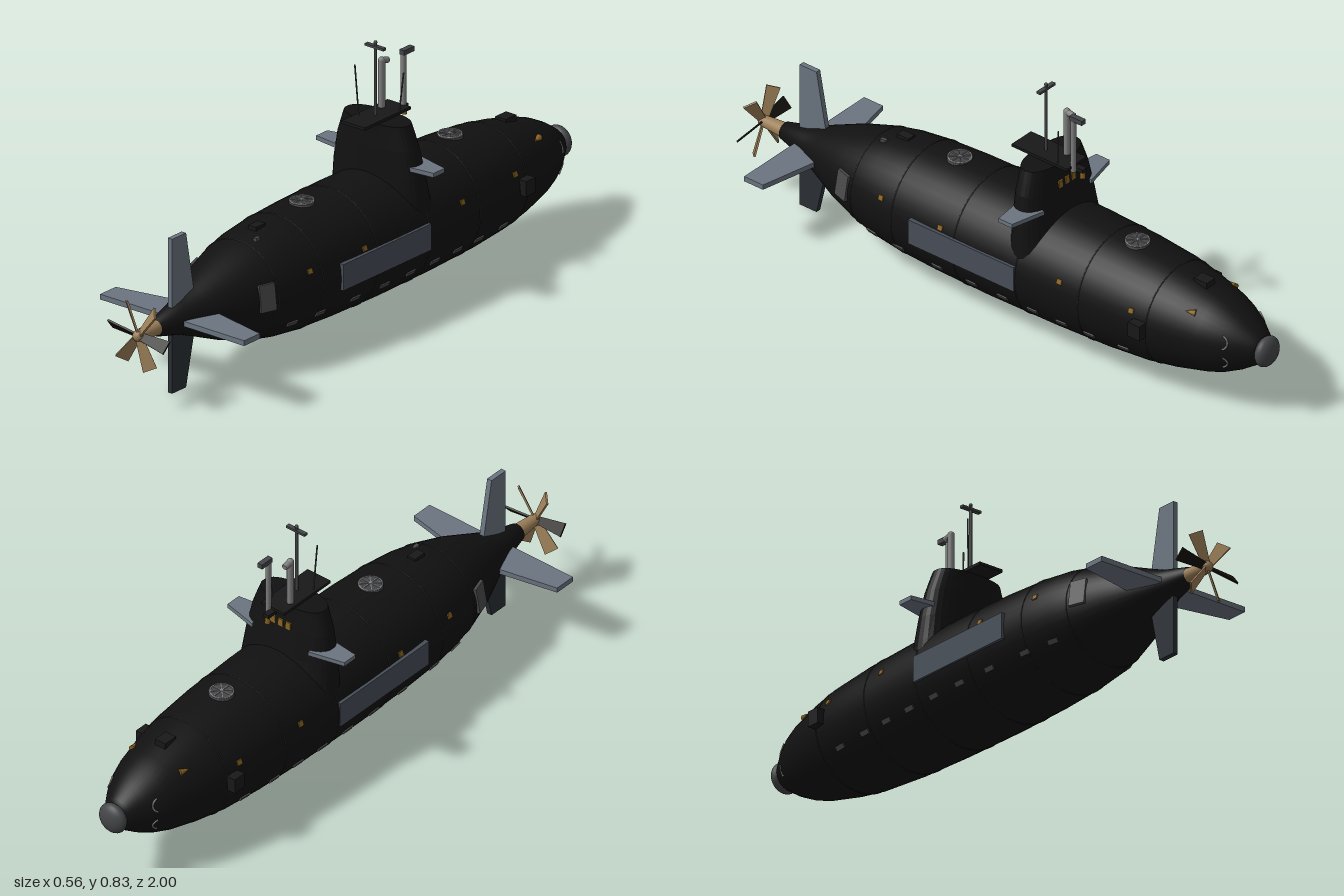
import * as THREE from 'three';

const AXIS = 0.233; // height of the hull centreline
// hull profile: [z, radius] from bow to stern
const PROFILE = [[-0.97, 0], [-0.965, 0.035], [-0.95, 0.052], [-0.9, 0.086], [-0.85, 0.112], [-0.8, 0.13], [-0.7, 0.154],
  [-0.6, 0.171], [-0.45, 0.183], [-0.25, 0.19], [0, 0.193], [0.2, 0.19], [0.35, 0.183], [0.45, 0.172], [0.53, 0.155],
  [0.63, 0.124], [0.73, 0.082], [0.8, 0.053], [0.9, 0.028], [0.905, 0]];

const mat = (color, extra) => new THREE.MeshStandardMaterial({ color, ...extra });
const M = {
  hull: mat(0x111111), black: mat(0x181818), seam: mat(0x2c2d2f), fin: mat(0x6b7480), darkFin: mat(0x2a2f36),
  panel: mat(0x474e58), vent: mat(0x4a4a4a), amber: mat(0x8a6420), steel: mat(0x808080), darkSteel: mat(0x444548),
  bronze: mat(0x9c7f58, { side: THREE.DoubleSide }), darkBlade: mat(0x14110c, { side: THREE.DoubleSide }),
};

function hullRadius(z) {
  for (let i = 1; i < PROFILE.length; i++) {
    const [z0, r0] = PROFILE[i - 1], [z1, r1] = PROFILE[i];
    if (z <= z1) return r0 + (r1 - r0) * (z - z0) / (z1 - z0);
  }
  return 0;
}

// sail lofted from rounded sections: [y, half width, bow z, stern z]
function sailGeometry() {
  const rows = [[0.28, 0.178, -0.24, -0.07], [0.34, 0.173, -0.23, -0.07], [0.42, 0.165, -0.212, -0.074],
    [0.51, 0.147, -0.198, -0.077], [0.55, 0.133, -0.192, -0.079], [0.585, 0.12, -0.187, -0.08]];
  const n = 36, pos = [], idx = [];
  const pw = v => Math.sign(v) * Math.abs(v) ** 0.85;
  rows.forEach(([y, w, z0, z1]) => {
    for (let j = 0; j < n; j++) {
      const t = j / n * Math.PI * 2;
      pos.push(w * pw(Math.cos(t)), y, (z0 + z1) / 2 + (z1 - z0) / 2 * pw(Math.sin(t)));
    }
  });
  const top = rows.length * n;
  pos.push(0, 0.585, -0.133);
  for (let j = 0; j < n; j++) {
    const k = (j + 1) % n;
    for (let i = 0; i < rows.length - 1; i++) {
      const a = i * n + j, b = i * n + k;
      idx.push(a, a + n, b, b, a + n, b + n);
    }
    idx.push(top, top - n + k, top - n + j);
  }
  const g = new THREE.BufferGeometry();
  g.setAttribute('position', new THREE.Float32BufferAttribute(pos, 3));
  g.setIndex(idx);
  const flat = g.toNonIndexed();
  flat.computeVertexNormals();
  return flat;
}

// flat fin in x/z: outline points [x, z], given thickness in y
function finGeometry(points, thick) {
  const s = new THREE.Shape(points.map(([x, z]) => new THREE.Vector2(x, -z)));
  return new THREE.ExtrudeGeometry(s, { depth: thick, bevelEnabled: false })
    .translate(0, 0, -thick / 2).rotateX(-Math.PI / 2);
}

export function createModel() {
  const root = new THREE.Group();
  const add = (name, geo, material, x = 0, y = 0, z = 0, parent = root) => {
    const m = new THREE.Mesh(geo, material);
    m.name = name;
    m.position.set(x, y, z);
    parent.add(m);
    return m;
  };
  const box = (w, h, d) => new THREE.BoxGeometry(w, h, d);
  const rod = (name, r, a, b, material) => {
    const p = new THREE.Vector3(...a), q = new THREE.Vector3(...b);
    const m = add(name, new THREE.CylinderGeometry(r, r, p.distanceTo(q), 12), material);
    m.position.copy(p).add(q).multiplyScalar(0.5);
    m.quaternion.setFromUnitVectors(new THREE.Vector3(0, 1, 0), q.sub(p).normalize());
  };
  // seats a part on the hull skin, its local +z facing outward
  const onHull = (name, geo, material, z, y, side) => {
    const r = hullRadius(z), dy = y - AXIS;
    const x = side * Math.sqrt(Math.max(0, r * r - dy * dy));
    const slope = (hullRadius(z + 0.02) - hullRadius(z - 0.02)) / 0.04;
    const m = add(name, geo, material, x, y, z);
    m.lookAt(x + x / r, y + dy / r, z - slope);
    return m;
  };

  // hull, seams and bow dome
  add('hull', new THREE.LatheGeometry(PROFILE.map(([z, r]) => new THREE.Vector2(r, z)), 40).rotateX(Math.PI / 2), M.hull, 0, AXIS, 0);
  for (const z of [-0.635, -0.39, -0.15, 0.09, 0.337, 0.515])
    add('hullSeam', new THREE.TorusGeometry(hullRadius(z), 0.0018, 6, 48), M.seam, 0, AXIS, z);
  add('bowDome', new THREE.SphereGeometry(0.05, 24, 16).scale(1, 1, 0.54), M.darkSteel, 0, AXIS, -0.973);

  // side fittings, mirrored
  for (const s of [1, -1]) {
    add('sidePanel', box(0.02, 0.085, 0.41), M.panel, s * 0.185, 0.24, 0.055);
    add('sideBlock', box(0.03, 0.05, 0.045), M.black, s * 0.178, 0.25, -0.615);
    for (const z of [0.44, 0.325, 0.17, 0.035, -0.085, -0.2, -0.31, -0.415, -0.54])
      onHull('floodVent', box(0.038, 0.016, 0.008), M.vent, z, 0.138, s);
    for (const z of [0.385, 0.145, -0.315, -0.58])
      onHull('markerLight', box(0.018, 0.016, 0.008), M.amber, z, 0.294, s);
    onHull('sternVent', box(0.055, 0.085, 0.01), M.vent, 0.555, 0.257, s);
    onHull('bowLight', new THREE.ConeGeometry(0.011, 0.036, 8).rotateZ(s * Math.PI / 2), M.amber, -0.757, 0.333, s);
    for (const y of [0.268, 0.198])
      onHull('tubeDoorRim', new THREE.TorusGeometry(0.022, 0.003, 6, 16, Math.PI * 0.8)
        .rotateZ(s > 0 ? -Math.PI * 0.4 : Math.PI * 0.6), M.steel, -0.87, y, s);
  }

  // deck hatches with spokes
  for (const z of [-0.47, 0.22]) {
    const hatch = new THREE.Group();
    hatch.name = 'deckHatch';
    hatch.position.set(0, AXIS + hullRadius(z), z);
    root.add(hatch);
    add('hatchLid', new THREE.CylinderGeometry(0.036, 0.04, 0.012, 24), M.darkSteel, 0, 0, 0, hatch);
    add('hatchRim', new THREE.TorusGeometry(0.036, 0.003, 6, 24).rotateX(Math.PI / 2), M.steel, 0, 0.005, 0, hatch);
    for (let i = 0; i < 4; i++)
      add('hatchSpoke', box(0.07, 0.003, 0.003).rotateY(i * Math.PI / 4), M.steel, 0, 0.007, 0, hatch);
  }
  add('aftDeckBlock', box(0.03, 0.025, 0.045), M.black, 0, 0.404, 0.43);
  add('foreDeckBlock', box(0.04, 0.03, 0.05), M.black, 0, 0.378, -0.73);
  add('deckCleat', box(0.012, 0.012, 0.02), M.vent, 0.042, 0.395, 0.48);

  // sail with cap, windows, lamp and planes
  add('sail', sailGeometry(), M.hull);
  add('sailCap', box(0.09, 0.009, 0.215), M.black, 0, 0.59, -0.126);
  for (const x of [-0.03, 0, 0.03]) add('sailWindow', box(0.018, 0.025, 0.012), M.amber, x, 0.52, -0.193);
  add('lampBracket', box(0.02, 0.012, 0.04), M.black, 0, 0.58, -0.245);
  add('lamp', new THREE.CylinderGeometry(0.007, 0.009, 0.022, 12), M.amber, 0, 0.563, -0.257);
  for (const s of [1, -1])
    add('sailPlane', finGeometry([[s * 0.11, -0.2], [s * 0.228, -0.172], [s * 0.228, -0.12], [s * 0.11, -0.105]], 0.014), M.fin, 0, 0.457, 0);

  // masts
  rod('centreMast', 0.005, [0.004, 0.58, -0.118], [0.004, 0.825, -0.118], M.darkSteel);
  add('mastCrossbar', box(0.072, 0.008, 0.014), M.darkSteel, 0.004, 0.815, -0.118);
  add('mastKnob', new THREE.SphereGeometry(0.006, 12, 8), M.darkSteel, 0.004, 0.829, -0.118);
  rod('snorkel', 0.011, [-0.022, 0.58, -0.178], [-0.022, 0.745, -0.178], M.steel);
  add('snorkelElbow', new THREE.SphereGeometry(0.011, 12, 8), M.steel, -0.022, 0.745, -0.178);
  rod('snorkelMouth', 0.01, [-0.022, 0.744, -0.178], [-0.022, 0.738, -0.205], M.steel);
  rod('periscope', 0.009, [0.016, 0.575, -0.235], [0.016, 0.765, -0.235], M.steel);
  add('periscopeHead', box(0.018, 0.016, 0.048), M.darkSteel, 0.016, 0.764, -0.25);
  rod('antenna', 0.0025, [-0.033, 0.585, -0.085], [-0.042, 0.757, -0.077], M.darkSteel);
  rod('antenna', 0.0025, [0.036, 0.585, -0.19], [0.045, 0.715, -0.2], M.darkSteel);

  // tail fins
  for (const s of [1, -1]) {
    add('sternPlane', finGeometry([[0, 0.69], [s * 0.1, 0.715], [s * 0.28, 0.752], [s * 0.28, 0.825], [0, 0.825]], 0.017), M.fin, 0, AXIS, 0);
    add(s > 0 ? 'upperRudder' : 'lowerRudder',
      finGeometry([[0, 0.72], [s * 0.08, 0.735], [s * (s > 0 ? 0.267 : 0.233), 0.77], [s * (s > 0 ? 0.267 : 0.233), 0.835], [0, 0.835]], 0.017)
        .rotateZ(Math.PI / 2), s > 0 ? M.fin : M.darkFin, 0, AXIS, 0);
  }

  // propeller: hub, end cap and six pitched blades
  const propeller = new THREE.Group();
  propeller.name = 'propeller';
  propeller.position.set(0, AXIS, 0.97);
  root.add(propeller);
  add('hub', new THREE.CylinderGeometry(0.018, 0.025, 0.1, 20).rotateX(Math.PI / 2), M.bronze, 0, 0, -0.035, propeller);
  add('hubCap', new THREE.SphereGeometry(0.018, 16, 12), M.bronze, 0, 0, 0.012, propeller);
  for (let i = 0; i < 6; i++) {
    const blade = finGeometry([[0.01, -0.012], [0.11, -0.022], [0.11, 0.022], [0.01, 0.012]], 0.006)
      .rotateX(0.85).rotateZ(i * Math.PI / 3 - 0.1);
    add('blade', blade, i % 3 === 0 ? M.darkBlade : M.bronze, 0, 0, 0.012, propeller);
  }
  return root;
}
